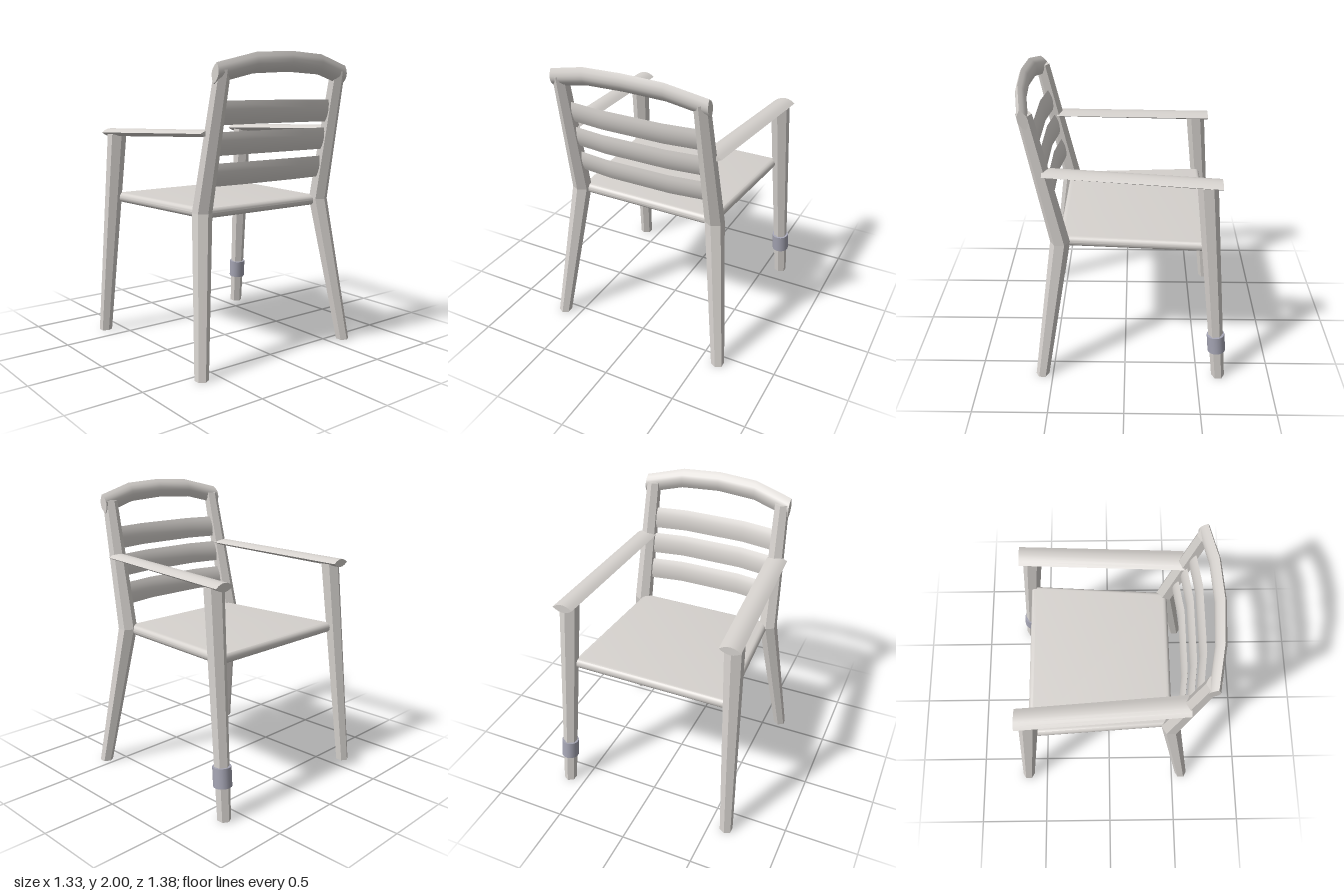
import * as THREE from 'three';
import { toCreasedNormals } from 'three/addons/utils/BufferGeometryUtils.js';

// Skin a closed body over a list of rings of [x, y, z] points, with capped ends
function loft(rings) {
  const n = rings[0].length, pos = [];
  const tri = (...p) => p.forEach((q) => pos.push(...q));
  const middle = (ring) => [0, 1, 2].map((k) => ring.reduce((s, p) => s + p[k], 0) / n);
  const first = rings[0], last = rings[rings.length - 1];
  const c0 = middle(first), c1 = middle(last);
  for (let j = 0; j < n; j++) {
    const k = (j + 1) % n;
    for (let i = 0; i < rings.length - 1; i++) {
      const a = rings[i], b = rings[i + 1];
      tri(a[j], a[k], b[k]);
      tri(a[j], b[k], b[j]);
    }
    tri(c0, first[k], first[j]);
    tri(c1, last[j], last[k]);
  }
  const geo = new THREE.BufferGeometry();
  geo.setAttribute('position', new THREE.Float32BufferAttribute(pos, 3));
  return toCreasedNormals(geo, 0.6);
}

// Horizontal hexagon for the legs
function hexagon([x, y, z], r) {
  return Array.from({ length: 6 }, (_, i) => {
    const a = (i * Math.PI) / 3;
    return [x + r * Math.sin(a), y, z + r * Math.cos(a)];
  });
}

// Lens section with two sharp edges; u spans the width, v the thickness
function lens(c, u, v, steps = 6) {
  const ring = [];
  for (let i = 0; i < 2 * steps; i++) {
    const s = i < steps ? 1 - (2 * i) / steps : -1 + (2 * (i - steps)) / steps;
    const t = (i < steps ? 1 : -1) * (1 - s * s);
    ring.push(c.map((q, k) => q + s * u[k] + t * v[k]));
  }
  return ring;
}

export function createModel() {
  const frame = new THREE.MeshStandardMaterial({ color: 0xd6d2ce });
  frame.name = 'pale grey';
  const metal = new THREE.MeshStandardMaterial({ color: 0xa6a6b5 });
  metal.name = 'blue grey';

  const chair = new THREE.Group();
  chair.name = 'armchair';
  const add = (name, geo, mat = frame) => {
    const mesh = new THREE.Mesh(geo, mat);
    mesh.name = name;
    chair.add(mesh);
    return mesh;
  };

  // Legs and armrests on both sides
  for (const [side, s] of [['left', 1], ['right', -1]]) {
    const knee = hexagon([s * 0.502, 1.01, 0.42], 0.064);
    add(side + 'BackLeg', loft([hexagon([s * 0.622, 0, 0.572], 0.045), knee]));
    add(side + 'BackPost', loft([knee, hexagon([s * 0.48, 1.88, 0.6], 0.05)]));
    add(side + 'FrontLeg', loft([
      hexagon([s * 0.62, 0, -0.648], 0.045),
      hexagon([s * 0.567, 1.455, -0.508], 0.065),
    ]));
    add(side + 'Armrest', loft([
      lens([s * 0.568, 1.463, -0.597], [0.071, 0, 0], [0, 0.028, 0]),
      lens([s * 0.502, 1.504, 0.508], [0.072, 0, 0], [0, 0.022, 0]),
    ]));
  }

  // Seat: tapered panel with half-round edges
  const r = 0.034;
  const outline = new THREE.Shape([
    [-0.525, 0.52], [-0.465, -0.395], [0.465, -0.395], [0.525, 0.52],
  ].map(([x, y]) => new THREE.Vector2(x, y)));
  const seat = new THREE.ExtrudeGeometry(outline, {
    depth: 0.002, bevelSize: r, bevelThickness: r, bevelSegments: 6,
  });
  seat.rotateX(-Math.PI / 2);
  seat.translate(0, 0.999, 0);
  add('seat', toCreasedNormals(seat, 0.6));

  // Curved back slats, leaning with the posts
  [1.625, 1.437, 1.243].forEach((y, i) => {
    const z = 0.42 + 0.205 * (y - 1.01);
    const path = [[-0.47, 0], [-0.22, 0.034], [0.22, 0.034], [0.47, 0]];
    add('backSlat' + (i + 1), loft(path.map(([x, dz]) =>
      lens([x, y + dz * 0.1, z + dz], [0, 0.073, 0.015], [0, -0.003, 0.014]))));
  });

  // Arched top rail
  const arch = [
    [-0.535, 1.858, 0.6], [-0.27, 1.923, 0.643], [0, 1.936, 0.657],
    [0.27, 1.923, 0.643], [0.535, 1.858, 0.6],
  ];
  add('topRail', loft(arch.map((c) => lens(c, [0, 0.063, 0.017], [0, -0.008, 0.032]))));

  // Metal cuff around the left front leg
  const cuff = add('legCuff', new THREE.CylinderGeometry(0.06, 0.06, 0.13, 16), metal);
  cuff.position.set(0.61, 0.285, -0.621);
  cuff.quaternion.setFromUnitVectors(
    new THREE.Vector3(0, 1, 0),
    new THREE.Vector3(-0.053, 1.455, 0.14).normalize());

  return chair;
}
